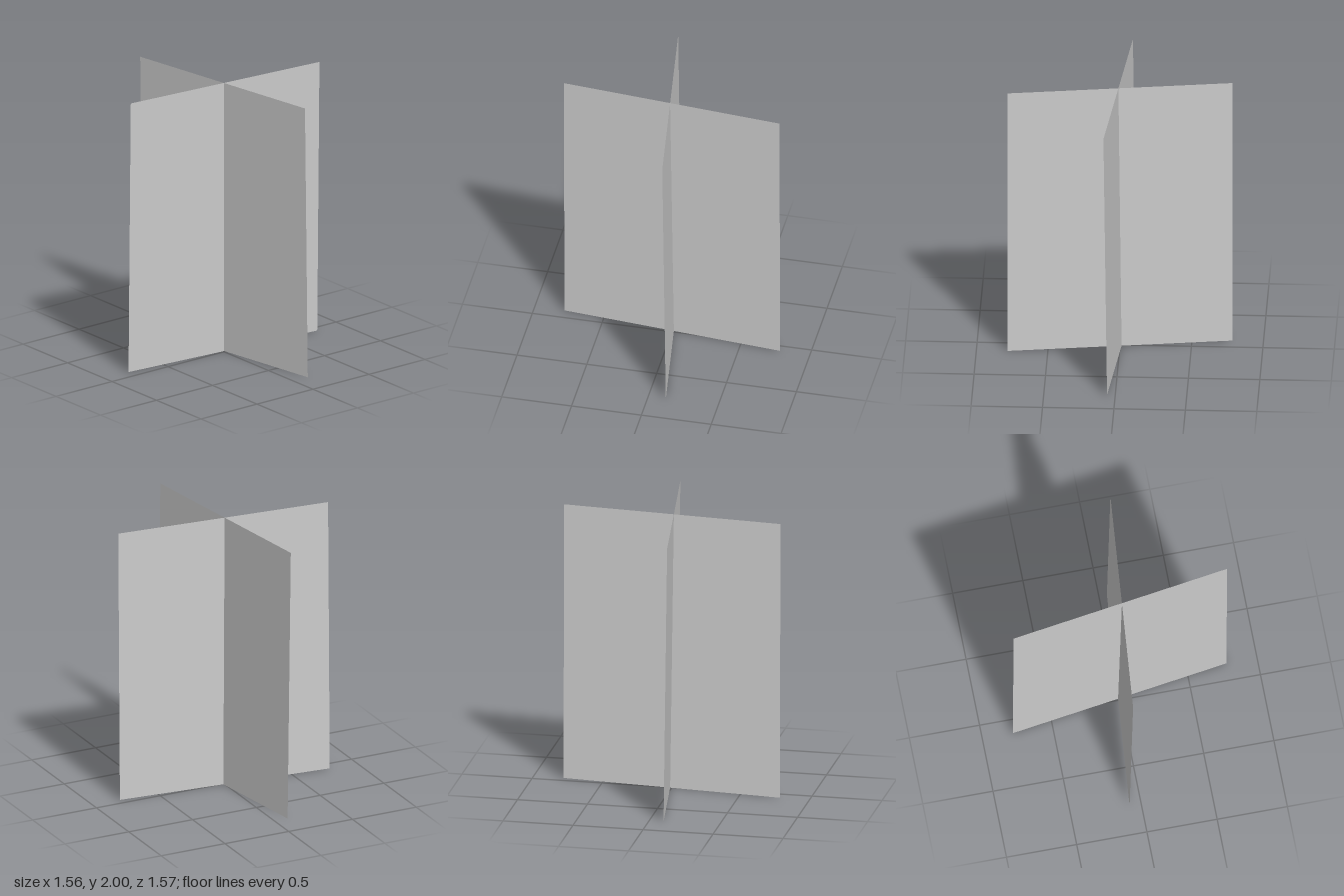
import * as THREE from 'three';

export function createModel() {
  const group = new THREE.Group();
  const material = new THREE.MeshStandardMaterial({ color: 0xcccccc, side: THREE.DoubleSide });

  // A thin upright sheet spanned by its width vector and its slightly leaning height vector
  function addSheet(name, across, up) {
    const normal = new THREE.Vector3().crossVectors(across, up).normalize();
    const geometry = new THREE.PlaneGeometry(1, 1);
    geometry.applyMatrix4(new THREE.Matrix4().makeBasis(across, up, normal).setPosition(0, 1, 0));
    geometry.computeVertexNormals();
    const sheet = new THREE.Mesh(geometry, material);
    sheet.name = name;
    group.add(sheet);
  }

  // Two sheets crossing at the middle
  addSheet('wideSheet', new THREE.Vector3(1.564, 0, -0.229), new THREE.Vector3(0, 2, 0.025));
  addSheet('deepSheet', new THREE.Vector3(-0.14, 0, 1.574), new THREE.Vector3(0.025, 2, 0));

  return group;
}
